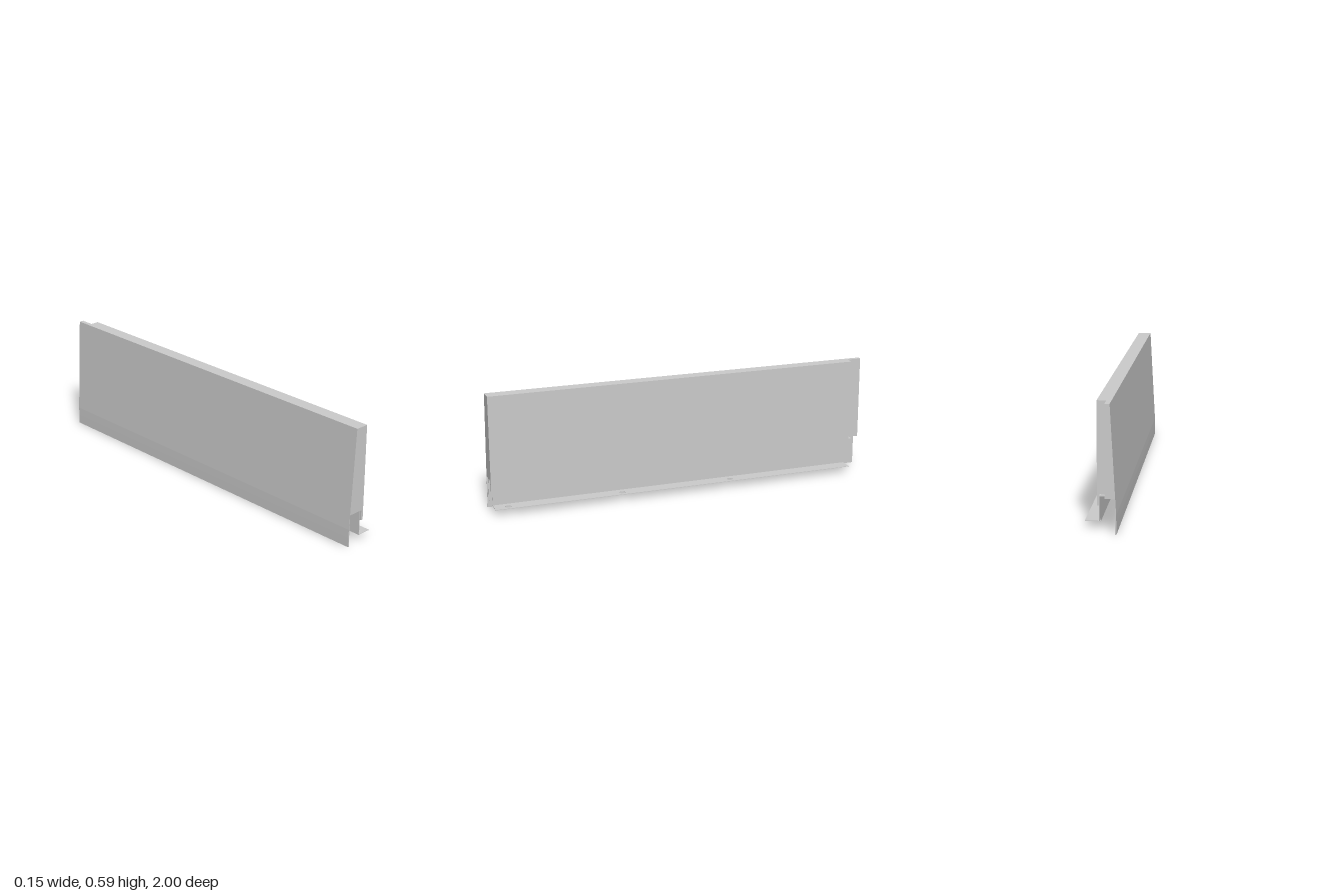
import * as THREE from 'three';

const material = new THREE.MeshStandardMaterial({ color: 0xcccccc });

// Sweep an x/y cross-section along z from z0 to z1
function sweep(name, points, z0, z1) {
  const shape = new THREE.Shape(points.map(([x, y]) => new THREE.Vector2(x, y)));
  const geometry = new THREE.ExtrudeGeometry(shape, { depth: z1 - z0, bevelEnabled: false });
  geometry.translate(0, 0, z0);
  const mesh = new THREE.Mesh(geometry, material);
  mesh.name = name;
  return mesh;
}

const rect = (x0, y0, x1, y1) => [[x0, y0], [x1, y0], [x1, y1], [x0, y1]];

export function createModel() {
  const group = new THREE.Group();
  group.name = 'drawerSide';

  // Outer wall: upright foot, then a lean inwards to the top edge
  const outer = [[-0.048, 0.588], [-0.076, 0.09], [-0.0765, 0.05], [-0.0765, 0]];
  const foot = [[-0.0715, 0], [-0.0715, 0.163]];

  // Main hollow-bottomed panel with a lip hanging on the inner side
  group.add(sweep('sidePanel', [
    ...outer, ...foot,
    [0.006, 0.163], [0.006, 0.111], [0.018, 0.111], [0.018, 0.588],
  ], -0.927, 1));

  // Narrower rear end, notched for the back panel
  group.add(sweep('rearEnd', [
    ...outer, ...foot, [-0.025, 0.163], [-0.025, 0.588],
  ], -1, -0.927));

  // Sheet lining of the runner channel
  const back = -0.95, front = 0.993;
  group.add(sweep('channelWall', rect(-0.0715, 0.033, -0.066, 0.163), back, front));
  group.add(sweep('channelRoof', rect(-0.066, 0.16, 0.006, 0.164), back, front));

  // Inner web, stepped up behind the flange
  group.add(sweep('innerWeb', rect(0.003, 0.033, 0.006, 0.16), -0.905, front));
  group.add(sweep('innerWebRear', rect(0.003, 0.047, 0.006, 0.16), back, -0.905));

  // Bottom flange with three screw holes, drawn in x/-z and laid flat
  const shape = new THREE.Shape(
    rect(0.006, -front, 0.075, 0.905).map(([x, y]) => new THREE.Vector2(x, y)));
  for (const z of [-0.237, 0.343, 0.925]) {
    const hole = new THREE.Path();
    hole.absarc(0.047, -z, 0.015, 0, Math.PI * 2, true);
    shape.holes.push(hole);
  }
  const flangeGeometry = new THREE.ExtrudeGeometry(shape, {
    depth: 0.002, bevelEnabled: false, curveSegments: 24,
  });
  flangeGeometry.rotateX(-Math.PI / 2).translate(0, 0.033, 0);
  const flange = new THREE.Mesh(flangeGeometry, material);
  flange.name = 'bottomFlange';
  group.add(flange);

  return group;
}
